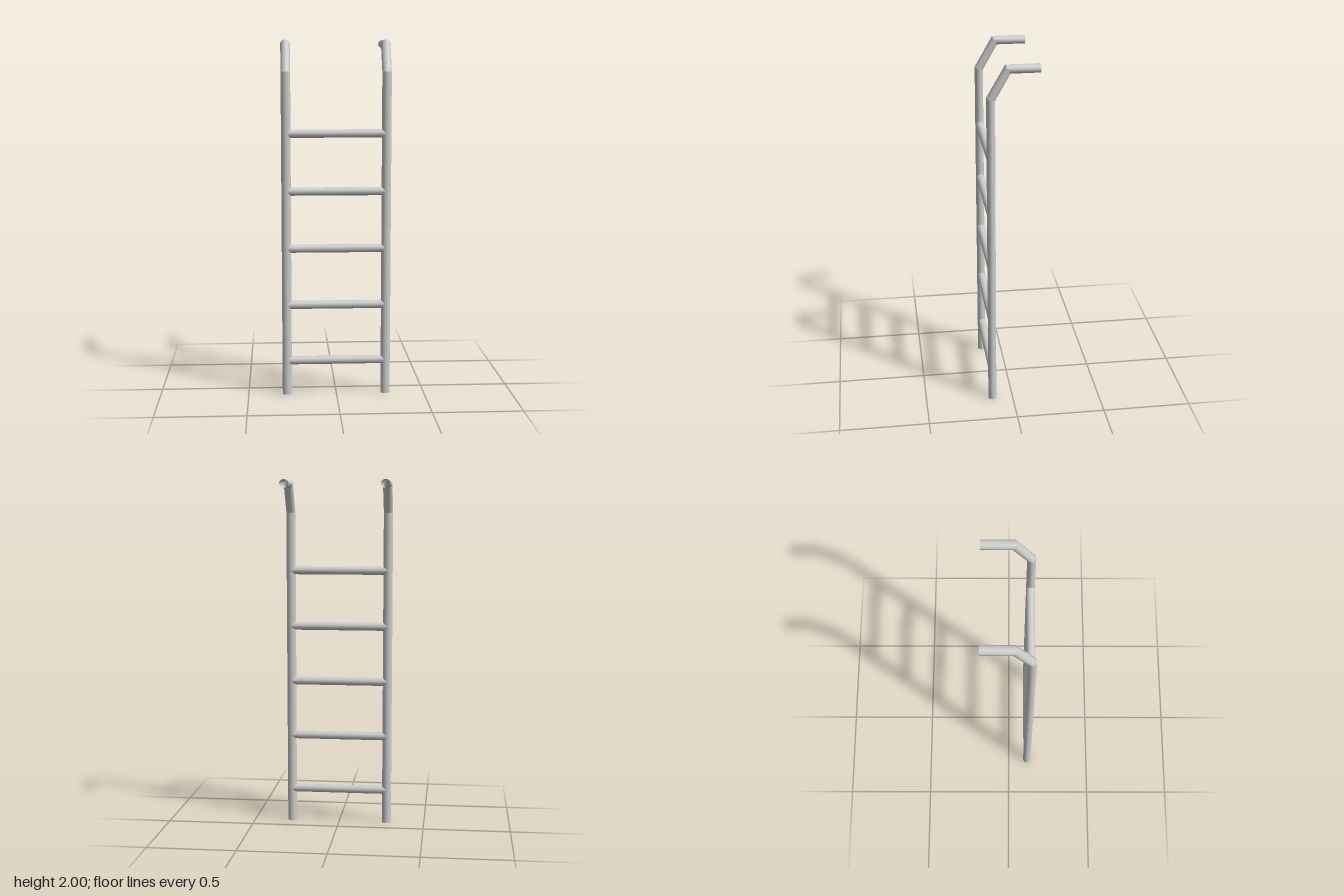
import * as THREE from 'three';

const SIDES = 20;
const RAIL_X = 0.28, RAIL_Z = 0.117, HALF_WIDTH = 0.0265, HALF_DEPTH = 0.0235;

const metal = new THREE.MeshStandardMaterial({ color: 0xcccccc, side: THREE.DoubleSide });

// Rail centre line as (z, y): upright, slanted neck, handle running back
const path = [[RAIL_Z, 0], [RAIL_Z, 1.82], [0.027, 1.977], [-0.142, 1.977]]
  .map(([z, y]) => new THREE.Vector2(z, y));

// Half-depth vector of the mitred ring at each path point
function mitre(i) {
  const dirs = [];
  if (i > 0) dirs.push(path[i].clone().sub(path[i - 1]).normalize());
  if (i < path.length - 1) dirs.push(path[i + 1].clone().sub(path[i]).normalize());
  const normals = dirs.map(d => new THREE.Vector2(d.y, -d.x));
  const sum = normals.reduce((a, n) => a.add(n), new THREE.Vector2()).normalize();
  return sum.multiplyScalar(HALF_DEPTH / sum.dot(new THREE.Vector2(dirs[0].y, -dirs[0].x)));
}

// One straight length of oval tube between two mitred rings, open at both ends
function tubeSection(i) {
  const positions = [], index = [];
  for (const j of [i, i + 1]) {
    const depth = mitre(j);
    for (let k = 0; k < SIDES; k++) {
      const a = (k / SIDES) * Math.PI * 2;
      positions.push(
        Math.cos(a) * HALF_WIDTH,
        path[j].y + Math.sin(a) * depth.y,
        path[j].x + Math.sin(a) * depth.x);
    }
  }
  for (let k = 0; k < SIDES; k++) {
    const n = (k + 1) % SIDES;
    index.push(k, k + SIDES, n, n, k + SIDES, n + SIDES);
  }
  const geometry = new THREE.BufferGeometry();
  geometry.setAttribute('position', new THREE.Float32BufferAttribute(positions, 3));
  geometry.setIndex(index);
  geometry.computeVertexNormals();
  return geometry;
}

export function createModel() {
  const ladder = new THREE.Group();
  ladder.name = 'ladder';

  // Two bent side rails
  const sections = ['upright', 'neck', 'handle'].map((name, i) => [name, tubeSection(i)]);
  for (const [name, x] of [['leftRail', RAIL_X], ['rightRail', -RAIL_X]]) {
    const rail = new THREE.Group();
    rail.name = name;
    rail.position.x = x;
    for (const [part, geometry] of sections) {
      const mesh = new THREE.Mesh(geometry, metal);
      mesh.name = part;
      rail.add(mesh);
    }
    ladder.add(rail);
  }

  // Five evenly spaced rungs running into the rails
  const rungGeometry = new THREE.CylinderGeometry(0.0233, 0.0233, RAIL_X * 2, SIDES, 1, true);
  rungGeometry.rotateZ(Math.PI / 2);
  for (let i = 0; i < 5; i++) {
    const rung = new THREE.Mesh(rungGeometry, metal);
    rung.name = `rung${i + 1}`;
    rung.position.set(0, 0.195 + i * 0.3225, RAIL_Z - 0.001);
    ladder.add(rung);
  }
  return ladder;
}
